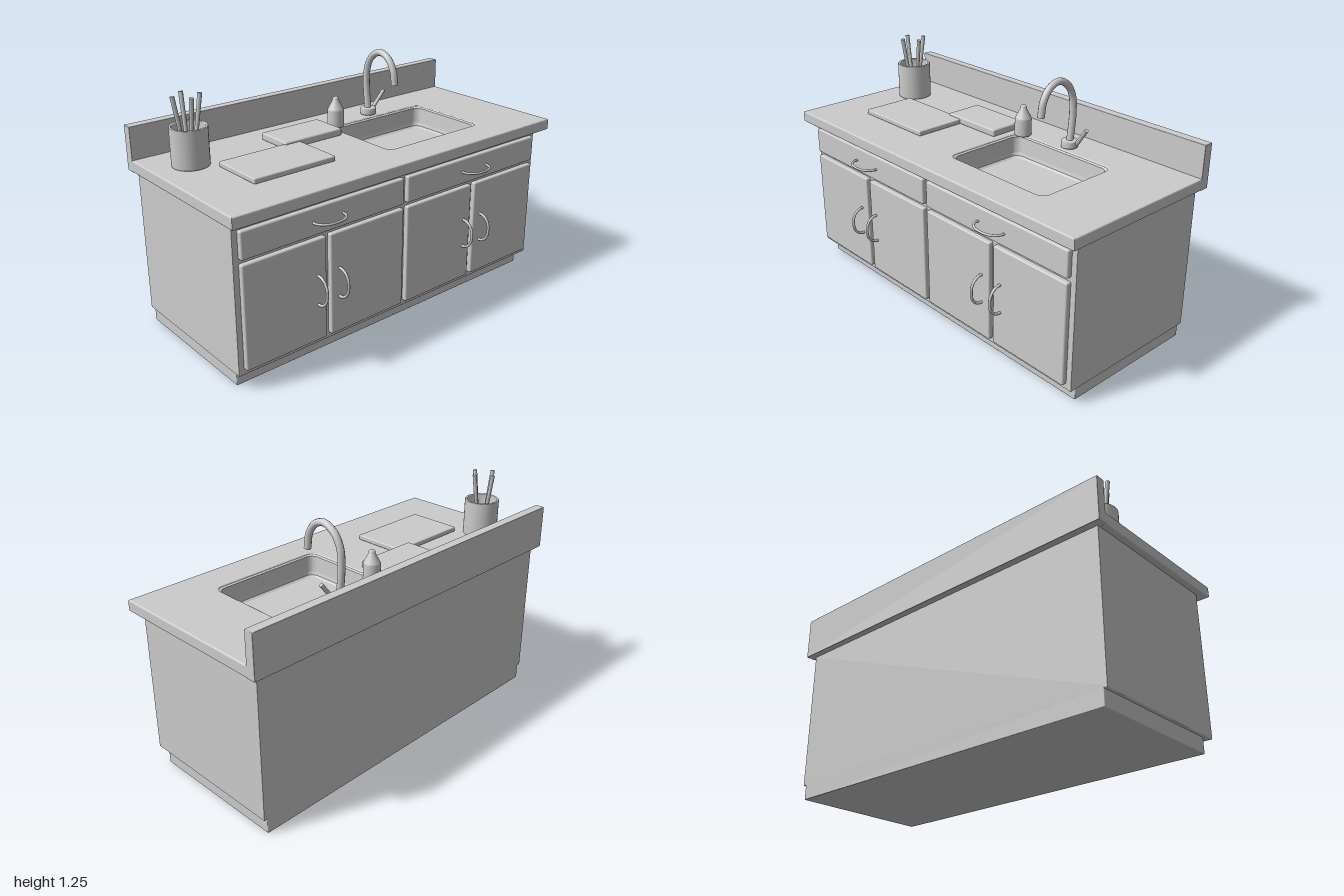
import * as THREE from 'three';
import { RoundedBoxGeometry } from 'three/addons/geometries/RoundedBoxGeometry.js';

const grey = new THREE.MeshStandardMaterial({ color: 0xcccccc, side: THREE.DoubleSide });
grey.name = 'light grey';

const V = (x, y, z) => new THREE.Vector3(x, y, z);

// Points of a rounded rectangle in plan (x, z), seven per corner
function roundRect(x0, x1, z0, z1, r) {
  const centres = [[x1 - r, z0 + r], [x1 - r, z1 - r], [x0 + r, z1 - r], [x0 + r, z0 + r]];
  const pts = [];
  centres.forEach(([cx, cz], k) => {
    for (let i = 0; i <= 6; i++) {
      const a = (k - 1 + i / 6) * Math.PI / 2;
      pts.push(new THREE.Vector2(cx + r * Math.cos(a), cz + r * Math.sin(a)));
    }
  });
  return pts;
}

// Slab with a sink opening, standing between y0 and y1
function slab(x0, x1, z0, z1, y0, y1, hole, bevel) {
  const s = new THREE.Shape([[x0, z0], [x1, z0], [x1, z1], [x0, z1]].map(p => new THREE.Vector2(...p)));
  s.holes.push(new THREE.Path(hole));
  const g = new THREE.ExtrudeGeometry(s, {
    depth: y1 - y0 - 2 * bevel, bevelEnabled: true, bevelThickness: bevel,
    bevelSize: bevel, bevelOffset: -bevel, bevelSegments: 3,
  });
  return g.rotateX(Math.PI / 2).translate(0, y1 - bevel, 0);
}

// Tapered basin walls lofted through inset rounded rectangles
function basinWalls(rings, outline) {
  const pos = [], idx = [];
  const n = outline(0).length;
  rings.forEach(([inset, y], k) => {
    outline(inset).forEach(p => pos.push(p.x, y, p.y));
    if (k === 0) return;
    for (let i = 0; i < n; i++) {
      const j = (i + 1) % n, a = (k - 1) * n, b = k * n;
      idx.push(a + i, a + j, b + i, a + j, b + j, b + i);
    }
  });
  const g = new THREE.BufferGeometry();
  g.setAttribute('position', new THREE.Float32BufferAttribute(pos, 3));
  g.setIndex(idx);
  const faces = g.toNonIndexed();
  faces.computeVertexNormals();
  return faces;
}

export function createModel() {
  const root = new THREE.Group();
  root.name = 'kitchenSinkUnit';
  const add = (name, geo) => {
    const m = new THREE.Mesh(geo, grey);
    m.name = name;
    root.add(m);
    return m;
  };
  const box = (name, x0, x1, y0, y1, z0, z1, r = 0.004) =>
    add(name, new RoundedBoxGeometry(x1 - x0, y1 - y0, z1 - z0, 2, r)
      .translate((x0 + x1) / 2, (y0 + y1) / 2, (z0 + z1) / 2));
  const tube = (name, pts, r, seg = 24) =>
    add(name, new THREE.TubeGeometry(new THREE.CatmullRomCurve3(pts), seg, r, 10));
  const rod = (name, a, b, r0, r1) => {
    const d = b.clone().sub(a);
    const m = add(name, new THREE.CylinderGeometry(r1, r0, d.length(), 12));
    m.position.copy(a).addScaledVector(d, 0.5);
    m.quaternion.setFromUnitVectors(V(0, 1, 0), d.normalize());
  };
  const lathe = (name, pts, x, y, z) =>
    add(name, new THREE.LatheGeometry(pts.map(p => new THREE.Vector2(...p)), 32).translate(x, y, z));

  // Cabinet and worktop
  box('toeKick', -0.95, 0.945, 0, 0.085, -0.43, 0.32);
  add('cabinet', slab(-0.967, 0.963, -0.43, 0.37, 0.078, 0.822,
    roundRect(0.005, 0.66, -0.22, 0.265, 0.04), 0.004));
  add('worktop', slab(-1, 1, -0.42, 0.435, 0.818, 0.877,
    roundRect(0.02, 0.645, -0.205, 0.25, 0.04), 0.007));
  box('backsplash', -1, 1, 0.818, 1.042, -0.465, -0.415, 0.003);

  // Sink basin
  const outline = inset => roundRect(0.02 + inset, 0.645 - inset, -0.205 + inset, 0.25 - inset, 0.04);
  add('sinkWalls', basinWalls([[0, 0.872], [0.01, 0.866], [0.016, 0.785], [0.02, 0.768], [0.032, 0.76]], outline));
  add('sinkFloor', new THREE.ShapeGeometry(new THREE.Shape(outline(0.032)))
    .rotateX(Math.PI / 2).translate(0, 0.76, 0));

  // Drawers and doors with bowed handles
  const bow = [[-1, 0.39], [-0.98, 0.415], [-0.78, 0.44], [-0.4, 0.457], [0, 0.46],
    [0.4, 0.457], [0.78, 0.44], [0.98, 0.415], [1, 0.39]];
  for (const x of [-0.94, 0.01]) {
    box('drawerFront', x, x + 0.925, 0.648, 0.783, 0.365, 0.396, 0.008);
    tube('drawerHandle', bow.map(([t, z]) => V(x + 0.4625 + t * 0.085, 0.713, z)), 0.006);
    for (const dx of [0, 0.475])
      box('door', x + dx, x + dx + 0.45, 0.108, 0.627, 0.365, 0.396, 0.008);
    for (const hx of [0.4, 0.525])
      tube('doorHandle', bow.map(([t, z]) => V(x + hx, 0.37 + t * 0.074, z)), 0.007);
  }

  // Chopping boards
  box('largeBoard', -0.73, -0.275, 0.876, 0.903, -0.09, 0.2, 0.006);
  box('smallBoard', -0.365, -0.015, 0.876, 0.914, -0.275, -0.07, 0.008);

  // Utensil pot with four leaning sticks
  const px = -0.815, pz = -0.193;
  lathe('utensilPot', [[0, 0], [0.088, 0], [0.09, 0.004], [0.09, 0.188], [0.088, 0.191],
    [0.08, 0.191], [0.078, 0.187], [0.078, 0.012], [0, 0.012]], px, 0.877, pz);
  for (let i = 0; i < 4; i++) {
    const a = i * Math.PI / 2 + 0.15, c = Math.cos(a), s = Math.sin(a);
    rod('utensil', V(px + c * 0.015, 0.89, pz + s * 0.015), V(px + c * 0.066, 1.212, pz + s * 0.066), 0.009, 0.011);
  }

  // Soap bottle
  lathe('soapBottle', [[0, 0], [0.041, 0], [0.043, 0.004], [0.043, 0.088], [0.04, 0.096],
    [0.018, 0.138], [0.016, 0.152], [0.012, 0.157], [0, 0.158]], 0.057, 0.877, -0.208);

  // Swan-neck tap with side lever
  const tx = 0.328;
  lathe('tapBase', [[0, 0], [0.041, 0], [0.042, 0.004], [0.042, 0.032], [0.038, 0.038], [0, 0.038]], tx, 0.877, -0.262);
  const neck = [[0.9, -0.262], [0.98, -0.272], [1.06, -0.277], [1.14, -0.268], [1.2, -0.233],
    [1.232, -0.172], [1.213, -0.11], [1.155, -0.068], [1.078, -0.054]];
  tube('tapNeck', neck.map(([y, z]) => V(tx, y, z)), 0.018, 48);
  const outlet = add('tapOutlet', new THREE.CircleGeometry(0.018, 16));
  outlet.position.set(tx, 1.079, -0.054);
  outlet.rotation.x = Math.PI / 2 - 0.15;
  rod('tapLever', V(0.36, 0.89, -0.272), V(0.437, 0.992, -0.258), 0.011, 0.01);

  return root;
}
